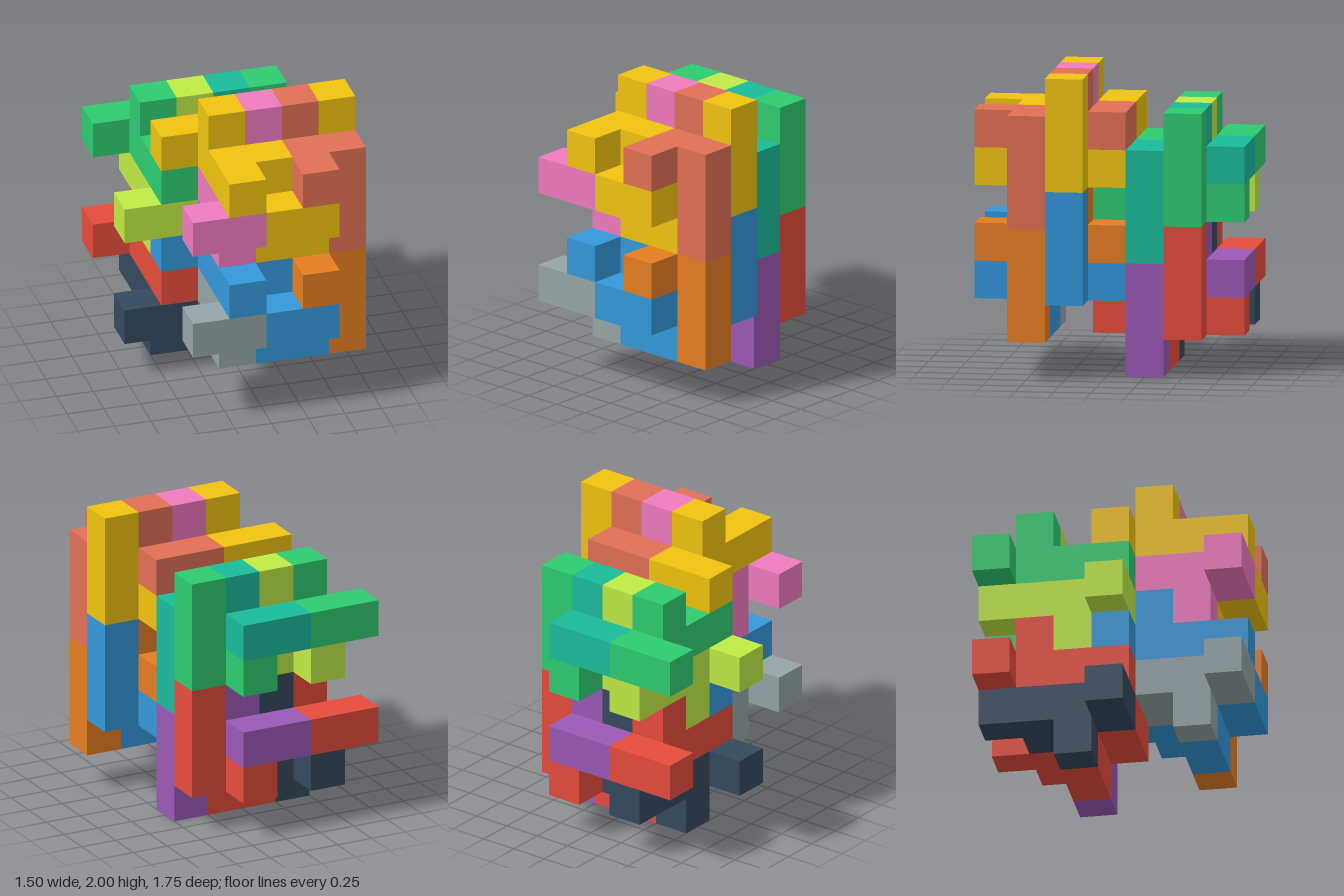
import * as THREE from 'three';
import { mergeGeometries } from 'three/addons/utils/BufferGeometryUtils.js';

const S = 0.25; // edge of one cube

// Box of w x h x d cubes centred at (x, y, z), in cube units
function block(w, h, d, x, y, z) {
  return new THREE.BoxGeometry(w * S, h * S, d * S).translate(x * S, y * S, z * S);
}

// Interlocking stick: a four-cube rod along z with two stubs and a hook.
// The flipped kind is the same stick turned half round about x.
function stick(column, row, flipped) {
  const geometry = mergeGeometries([
    block(1, 1, 4, 0, 0, 0),       // rod
    block(1, 1, 1, -1, 0, -1.5),   // side stub
    block(1, 1, 1, 0, 1, -0.5),    // top stub
    block(1, 3, 1, 1, -1, 0.5),    // hanging hook
  ]);
  if (flipped) geometry.rotateX(Math.PI);
  return geometry.translate((column - 2.5) * S, (row + 0.5) * S, 1.5 * S);
}

// The three pieces of one cluster
const pieces = {
  hookPiece: () => stick(4, 3, false),
  linkPiece: () => mergeGeometries([stick(2, 3, false), stick(4, 2, true)]),
  basePiece: () => stick(2, 2, true),
};

// Offsets in cubes, and colours in the order hook, link, base
const clusters = [
  { name: 'frontLower', offset: [0, 0, 0], colors: [0xe67e22, 0x3498db, 0x95a5a6] },
  { name: 'frontUpper', offset: [0, 3, 0], colors: [0xe17055, 0xf1c40f, 0xf07bbf] },
  { name: 'backLower', offset: [-1, -1, -3], colors: [0x9b59b6, 0xe74c3c, 0x34495e] },
  { name: 'backUpper', offset: [-1, 2, -3], colors: [0x1abc9c, 0x2ecc71, 0xc0eb45] },
];

export function createModel() {
  const model = new THREE.Group();
  model.name = 'interlockingCubePuzzle';
  for (const { name, offset, colors } of clusters) {
    const cluster = new THREE.Group();
    cluster.name = name + 'Cluster';
    cluster.position.fromArray(offset).multiplyScalar(S);
    Object.entries(pieces).forEach(([pieceName, build], i) => {
      const mesh = new THREE.Mesh(build(), new THREE.MeshStandardMaterial({ color: colors[i] }));
      mesh.name = pieceName;
      cluster.add(mesh);
    });
    model.add(cluster);
  }
  return model;
}
